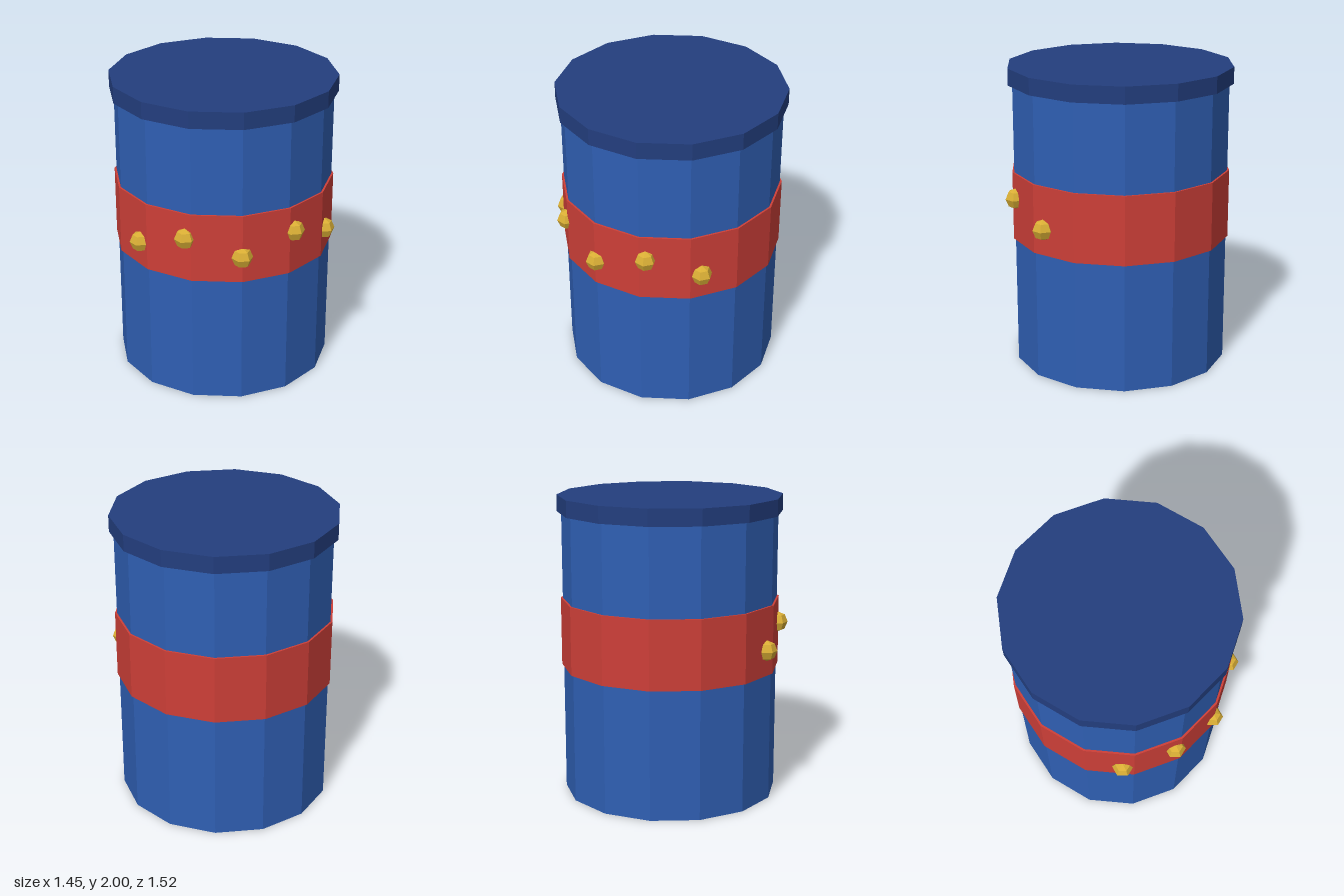
import * as THREE from 'three';

const SIDES = 14;
const CENTRE_Z = -0.018;

export function createModel() {
  const model = new THREE.Group();
  model.name = 'barrel';

  const paint = (name, color) => {
    const m = new THREE.MeshStandardMaterial({ color, flatShading: true });
    m.name = name;
    return m;
  };
  const blue = paint('blue', 0x2f5fb3);
  const navy = paint('navy', 0x233e7e);
  const red = paint('red', 0xcd3f38);
  const gold = paint('gold', 0xd9ae35);

  // Upright faceted drum from y0 to y1, with a corner facing the front
  const drum = (name, radius, y0, y1, material) => {
    const mesh = new THREE.Mesh(new THREE.CylinderGeometry(radius, radius, y1 - y0, SIDES), material);
    mesh.name = name;
    mesh.position.set(0, (y0 + y1) / 2, CENTRE_Z);
    model.add(mesh);
  };
  drum('body', 0.714, 0, 1.9, blue);
  drum('band', 0.727, 0.86, 1.315, red);
  drum('lid', 0.742, 1.89, 2, navy);

  // Studs around the front of the band, alternating low and high
  const studGeometry = new THREE.SphereGeometry(0.069, 6, 4);
  const studs = [[0, 1.03, 0.698], [0.347, 1.147, 0.609], [0.602, 1.03, 0.367]];
  for (const [x, y, z] of studs) {
    for (const side of x ? [-1, 1] : [1]) {
      const stud = new THREE.Mesh(studGeometry, gold);
      stud.name = 'stud';
      stud.position.set(x * side, y, z);
      model.add(stud);
    }
  }
  return model;
}
